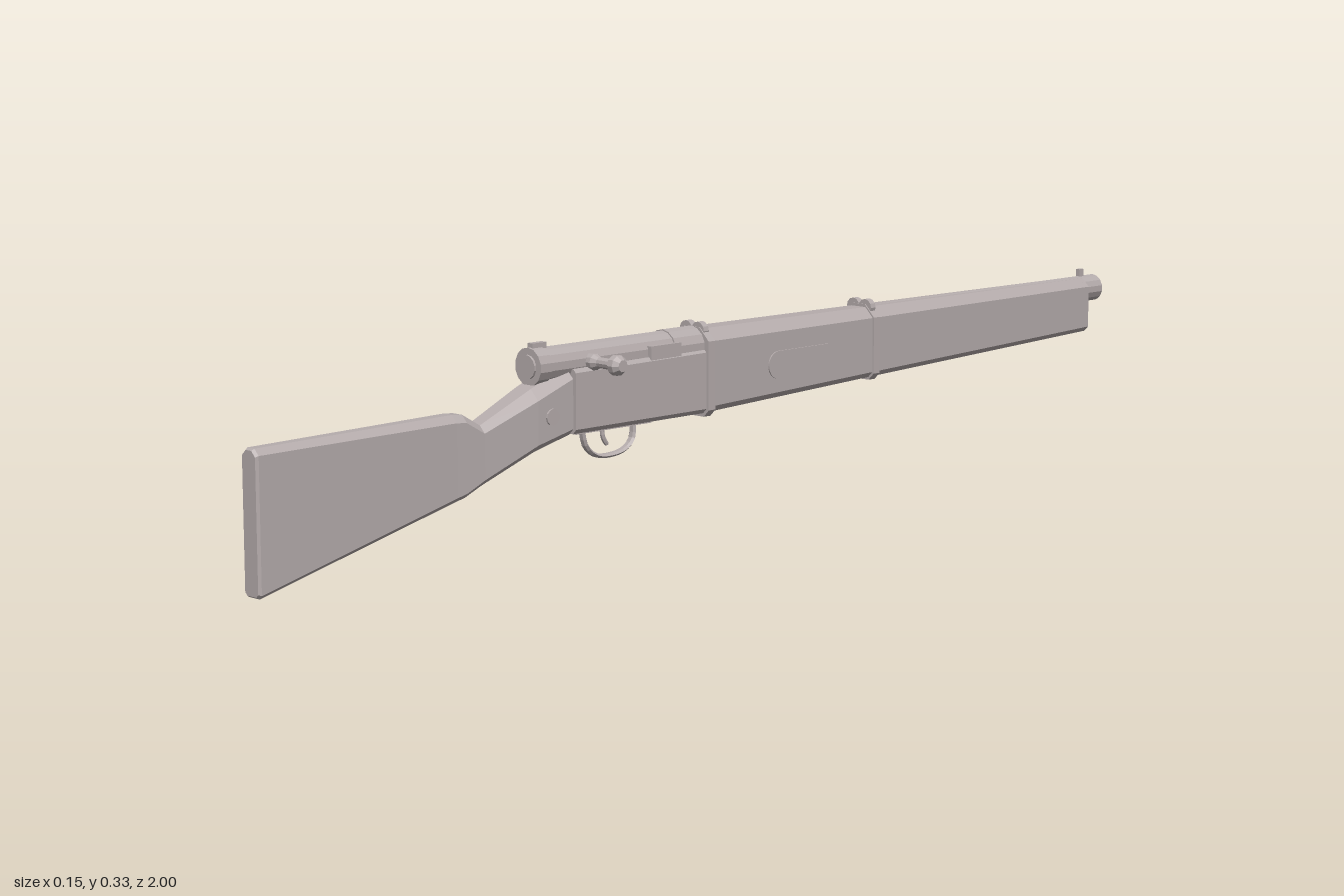
import * as THREE from 'three';

const steel = new THREE.MeshStandardMaterial({ color: 0xb5acac, flatShading: true, side: THREE.DoubleSide });
steel.name = 'warmGrey';

// Chamfered cross-sections joined along z; station = [z, halfWidth, bottom, top, bottomChamfer, topChamfer]
function loft(stations) {
  const rings = stations.map(([z, w, b, t, cb, ct]) => [
    [-w + cb, b], [w - cb, b], [w, b + cb], [w, t - ct],
    [w - ct, t], [-w + ct, t], [-w, t - ct], [-w, b + cb],
  ].map(([x, y]) => [x, y, z]));
  const pos = [];
  const tri = (...pts) => pts.forEach((p) => pos.push(...p));
  for (let i = 0; i < rings.length - 1; i++) {
    for (let j = 0; j < 8; j++) {
      const k = (j + 1) % 8, a = rings[i], b = rings[i + 1];
      tri(a[j], a[k], b[k]);
      tri(a[j], b[k], b[j]);
    }
  }
  const first = rings[0], last = rings[rings.length - 1];
  for (let j = 1; j < 7; j++) {
    tri(first[0], first[j + 1], first[j]);
    tri(last[0], last[j], last[j + 1]);
  }
  const geo = new THREE.BufferGeometry();
  geo.setAttribute('position', new THREE.Float32BufferAttribute(pos, 3));
  geo.computeVertexNormals();
  return geo;
}

export function createModel() {
  const model = new THREE.Group();
  model.name = 'rifle';
  const body = new THREE.Group();
  body.name = 'rifleBody';
  body.position.x = -0.03;
  model.add(body);

  const add = (name, geo, x = 0, y = 0, z = 0) => {
    const mesh = new THREE.Mesh(geo, steel);
    mesh.name = name;
    mesh.position.set(x, y, z);
    body.add(mesh);
    return mesh;
  };
  const box = (name, w, h, d, x, y, z) => add(name, new THREE.BoxGeometry(w, h, d), x, y, z);
  const rodZ = (name, r, len, x, y, z, sides = 14) =>
    add(name, new THREE.CylinderGeometry(r, r, len, sides).rotateX(Math.PI / 2), x, y, z);

  // Butt and wrist
  add('stock', loft([
    [0.375, 0.036, 0.18, 0.29, 0.01, 0.018],
    [0.45, 0.035, 0.16, 0.262, 0.012, 0.018],
    [0.555, 0.025, 0.118, 0.215, 0.01, 0.012],
    [0.59, 0.023, 0.103, 0.236, 0.008, 0.012],
    [0.61, 0.022, 0.098, 0.238, 0.008, 0.012],
    [0.995, 0.0185, 0.002, 0.232, 0.006, 0.01],
    [1, 0.016, 0.005, 0.229, 0.005, 0.009],
  ]));

  // Receiver with stepped right wall
  add('receiver', loft([
    [0.06, 0.037, 0.18, 0.29, 0.008, 0.006],
    [0.37, 0.037, 0.18, 0.287, 0.008, 0.006],
  ]));
  box('leftReceiverWall', 0.012, 0.03, 0.25, -0.029, 0.292, 0.25);
  box('rightReceiverWall', 0.014, 0.03, 0.07, 0.029, 0.292, 0.165);
  rodZ('receiverCollar', 0.0335, 0.08, 0, 0.293, 0.1);

  // Forend and barrel
  add('forend', loft([
    [-0.955, 0.028, 0.217, 0.317, 0.009, 0.015],
    [-0.35, 0.035, 0.196, 0.32, 0.01, 0.018],
    [0.065, 0.038, 0.18, 0.322, 0.011, 0.02],
  ]));
  const barrel = [[0.016, -0.9], [0.016, -1], [0.025, -1], [0.025, -0.955], [0.025, 0.1]]
    .map(([r, z]) => new THREE.Vector2(r, z));
  add('barrel', new THREE.LatheGeometry(barrel, 14).rotateX(Math.PI / 2), 0, 0.295, 0);
  add('bore', new THREE.CircleGeometry(0.016, 14), 0, 0.295, -0.9);
  box('frontSight', 0.008, 0.022, 0.012, 0, 0.322, -0.962);

  // Barrel bands with twin lobes on top
  for (const [z, w, b] of [[0.065, 0.0425, 0.174], [-0.35, 0.038, 0.191]]) {
    add('barrelBand', loft([
      [z - 0.008, w, b, 0.325, 0.012, 0.022],
      [z + 0.008, w, b, 0.325, 0.012, 0.022],
    ]));
    for (const s of [-1, 1]) rodZ('bandLobe', 0.015, 0.012, s * 0.014, 0.319, z, 12);
  }

  // Bolt, cocking piece and handle
  rodZ('bolt', 0.0295, 0.36, 0, 0.295, 0.26);
  rodZ('boltCap', 0.0315, 0.025, 0, 0.295, 0.4275);
  rodZ('boltEnd', 0.02, 0.006, 0, 0.295, 0.441);
  box('cockingPiece', 0.012, 0.012, 0.03, 0, 0.327, 0.42);
  const handle = [[0.014, 0.02], [0.014, 0.038], [0.009, 0.048], [0.009, 0.076],
    [0.017, 0.083], [0.017, 0.094], [0.01, 0.103], [0, 0.103]]
    .map(([r, x]) => new THREE.Vector2(r, x));
  add('boltHandle', new THREE.LatheGeometry(handle, 10).rotateZ(-Math.PI / 2), 0, 0.295, 0.327);

  // Trigger and guard
  const guard = new THREE.CatmullRomCurve3([[0.182, 0.325], [0.15, 0.316], [0.133, 0.295],
    [0.129, 0.265], [0.135, 0.23], [0.15, 0.212], [0.182, 0.208]]
    .map(([y, z]) => new THREE.Vector3(0, y, z)));
  const guardGeo = new THREE.TubeGeometry(guard, 18, 0.004, 6).scale(2, 1, 1);
  add('triggerGuard', guardGeo);
  const trigger = new THREE.QuadraticBezierCurve3(new THREE.Vector3(0, 0.185, 0.275),
    new THREE.Vector3(0, 0.165, 0.285), new THREE.Vector3(0, 0.148, 0.268));
  add('trigger', new THREE.TubeGeometry(trigger, 6, 0.004, 6));
  box('guardPlate', 0.03, 0.008, 0.17, 0, 0.179, 0.265);

  // Side details, mirrored: rounded finger panels and screws
  const pill = new THREE.Shape();
  pill.absarc(0.06, 0, 0.024, -Math.PI / 2, Math.PI / 2);
  pill.absarc(-0.06, 0, 0.024, Math.PI / 2, Math.PI * 1.5);
  const pillGeo = new THREE.ExtrudeGeometry(pill, { depth: 0.004, bevelEnabled: false, curveSegments: 8 })
    .translate(0, 0, -0.002).rotateY(Math.PI / 2);
  for (const s of [-1, 1]) {
    const panel = add('fingerPanel', pillGeo, s * 0.0368, 0.245, -0.16);
    panel.rotation.y = s * 0.0072;
    const screw = (z, y, x) => add('sideScrew',
      new THREE.CylinderGeometry(0.014, 0.014, 0.006, 12).rotateZ(Math.PI / 2), s * x, y, z);
    screw(0.42, 0.215, 0.0355);
    if (s < 0) screw(0.29, 0.245, 0.038);
  }
  return model;
}
